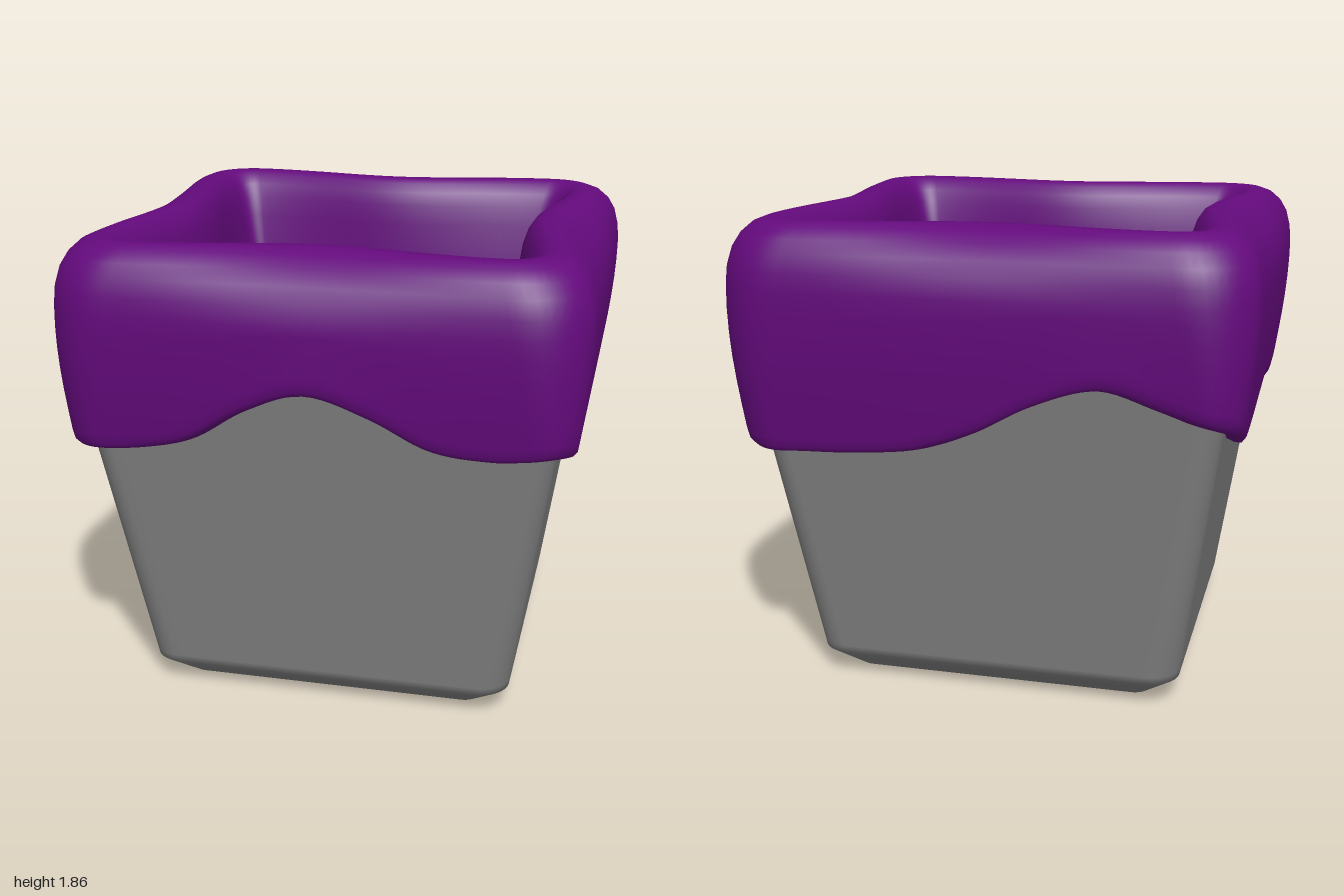
import * as THREE from 'three';

const SIDE = 48;   // steps along each straight side
const ARC = 10;    // steps round each corner

// Lower edge of the glaze, eight heights per side: front, left (+x), back, right (-x)
const DRIP = [
  1.08, 1.10, 1.155, 1.285, 1.36, 1.29, 1.18, 1.155,
  1.17, 1.11, 1.06, 1.12, 1.195, 1.21, 1.15, 1.07,
  1.00, 1.00, 1.01, 1.04, 1.12, 1.24, 1.31, 1.25,
  1.17, 1.07, 1.02, 1.04, 1.09, 1.12, 1.06, 1.04,
];

// Smooth closed interpolation of the drip heights, u runs 0..4 round the pot
function dripHeight(u) {
  const n = DRIP.length;
  const f = ((u * 8) % n + n) % n;
  const i = Math.floor(f), t = f - i;
  const [a, b, c, d] = [-1, 0, 1, 2].map(k => DRIP[(i + k + n) % n]);
  return 0.5 * (2 * b + (c - a) * t + (2 * a - 5 * b + 4 * c - d) * t * t
    + (3 * b - a - 3 * c + d) * t * t * t);
}

// Half width of the clay body at a height
const bodyHalf = y => 0.73 + 0.15 * (y - 0.1);

// Points of a rounded square; spec(u, mid) gives half width, height and corner radius
function ring(spec) {
  const pts = [];
  for (let side = 0; side < 4; side++) {
    const turn = side * Math.PI / 2, c = Math.cos(turn), s = Math.sin(turn);
    const add = (px, pz, y) => pts.push([px * c + pz * s, y, -px * s + pz * c]);
    for (let i = 0; i < SIDE; i++) {
      const t = i / SIDE;
      const { h, y, r } = spec(side + 0.06 + 0.88 * t, Math.sin(Math.PI * t) ** 2);
      add((2 * t - 1) * (h - r), h, y);
    }
    for (let i = 0; i < ARC; i++) {
      const t = i / ARC, a = t * Math.PI / 2;
      const { h, y, r } = spec(side + 0.94 + 0.12 * t, 0);
      add(h - r + r * Math.sin(a), h - r + r * Math.cos(a), y);
    }
  }
  return pts;
}

// Skin a list of rings, in order, with an optional flat cap on the first or last one
function loft(rings, capStart, capEnd) {
  const n = rings[0].length, pos = rings.flat(2), idx = [];
  for (let k = 0; k < rings.length - 1; k++) {
    for (let i = 0; i < n; i++) {
      const j = (i + 1) % n, a = k * n, b = a + n;
      idx.push(a + i, a + j, b + j, a + i, b + j, b + i);
    }
  }
  const cap = (pts, flip) => {
    const start = pos.length / 3;
    pos.push(...pts.flat(), 0, pts[0][1], 0);
    for (let i = 0; i < n; i++) {
      const a = start + i, b = start + (i + 1) % n;
      idx.push(start + n, flip ? b : a, flip ? a : b);
    }
  };
  if (capStart) cap(rings[0], true);
  if (capEnd) cap(rings[rings.length - 1], false);
  const g = new THREE.BufferGeometry();
  g.setAttribute('position', new THREE.Float32BufferAttribute(pos, 3));
  g.setIndex(idx);
  g.computeVertexNormals();
  return g;
}

function makeBody() {
  // half width, height, corner radius
  const profile = [
    [0.61, 0, 0.07], [0.682, 0.06, 0.1], [0.73, 0.1, 0.12], [bodyHalf(0.13), 0.13, 0.12],
    [bodyHalf(0.6), 0.6, 0.11], [bodyHalf(1.1), 1.1, 0.1], [bodyHalf(1.5), 1.5, 0.1],
  ];
  return loft(profile.map(([h, y, r]) => ring(() => ({ h, y, r }))), true, false);
}

function makeGlaze() {
  const rings = [];
  // Rounded lip that follows the wavy drip line: outward offset, rise
  const lip = [[-0.02, 0.02], [0.005, 0.005], [0.035, 0], [0.06, 0.006], [0.073, 0.025], [0.079, 0.06]];
  for (const [out, rise] of lip) {
    rings.push(ring(u => {
      const b = dripHeight(u);
      return { h: bodyHalf(b) + out, y: b + rise, r: 0.16 };
    }));
  }
  // Outer wall, swelling from the lip to the widest line
  for (let k = 1; k <= 6; k++) {
    const t = k / 6;
    rings.push(ring(u => {
      const b = dripHeight(u), h0 = bodyHalf(b) + 0.079;
      return {
        h: h0 + (1 - h0) * Math.sin(t * Math.PI / 2),
        y: b + 0.06 + (1.62 - b - 0.06) * t,
        r: 0.16 + 0.08 * t,
      };
    }));
  }
  // Rounded rim and inner wall: half width, height, radius, inward bow at mid-side
  const rim = [
    [0.994, 1.69, 0.24, 0.008], [0.978, 1.755, 0.24, 0.025], [0.95, 1.805, 0.23, 0.05],
    [0.91, 1.842, 0.21, 0.075], [0.865, 1.86, 0.18, 0.09], [0.82, 1.86, 0.14, 0.09],
    [0.785, 1.842, 0.11, 0.085], [0.755, 1.805, 0.09, 0.08], [0.73, 1.75, 0.08, 0.073],
    [0.71, 1.67, 0.07, 0.064], [0.685, 1.55, 0.06, 0.05], [0.655, 1.37, 0.05, 0.032],
    [0.62, 1.15, 0.04, 0.015], [0.55, 0.72, 0.03, 0], [0.465, 0.2, 0.01, 0],
  ];
  for (const [h, y, r, bow] of rim) {
    rings.push(ring((u, mid) => ({ h: h - bow * mid, y, r })));
  }
  return loft(rings, false, true);
}

export function createModel() {
  const model = new THREE.Group();
  model.name = 'glazedPot';

  // Tapered square clay body
  const body = new THREE.Mesh(makeBody(), new THREE.MeshStandardMaterial({ color: 0x828282 }));
  body.name = 'potBody';

  // Dripping glaze over the rim and the inside
  const glaze = new THREE.Mesh(makeGlaze(), new THREE.MeshStandardMaterial({ color: 0x640a7d }));
  glaze.name = 'glaze';

  model.add(body, glaze);
  return model;
}
